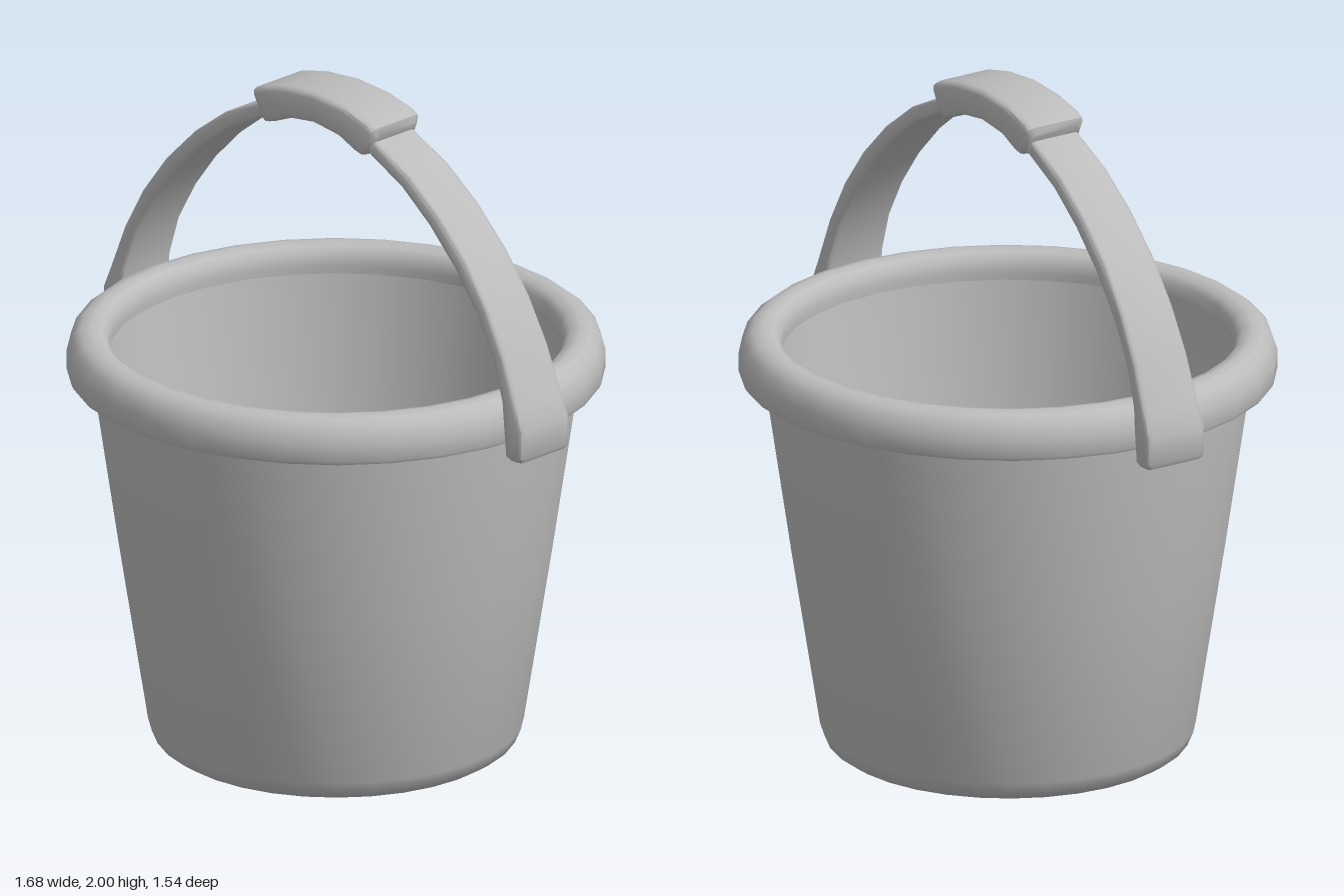
import * as THREE from 'three';
import { toCreasedNormals } from 'three/addons/utils/BufferGeometryUtils.js';

const SIDES = 32;

// Turned part from a closed [radius, height] profile
function turned(points) {
  const g = new THREE.LatheGeometry(points.map(([r, y]) => new THREE.Vector2(r, y)), SIDES);
  return toCreasedNormals(g, 0.75);
}

// Rounded-rectangle section, u = thickness, v = width, both -1..1
function section(cu, cv) {
  const pts = [];
  for (let q = 0; q < 4; q++) {
    for (let k = 0; k < 3; k++) {
      const a = q * Math.PI / 2 + k * Math.PI / 4;
      const su = q === 0 || q === 3 ? 1 : -1;
      const sv = q < 2 ? 1 : -1;
      pts.push([su * (1 - cu) + cu * Math.cos(a), sv * (1 - cv) + cv * Math.sin(a)]);
    }
  }
  return pts;
}

// Band lofted through stations [outerX, outerY, innerX, innerY, halfWidth], running toward +x
function band(stations, cu, cv) {
  const ring = section(cu, cv), n = ring.length, pos = [], idx = [];
  for (const [ox, oy, ix, iy, w] of stations) {
    for (const [u, v] of ring) {
      const t = (u + 1) / 2;
      pos.push(ix + (ox - ix) * t, iy + (oy - iy) * t, v * w);
    }
  }
  for (let i = 0; i < stations.length - 1; i++) {
    for (let j = 0; j < n; j++) {
      const k = (j + 1) % n;
      const a = i * n + j, d = i * n + k, b = a + n, c = d + n;
      idx.push(a, d, c, a, c, b);
    }
  }
  const last = (stations.length - 1) * n;
  for (let j = 1; j < n - 1; j++) {
    idx.push(0, j + 1, j, last, last + j, last + j + 1);
  }
  const g = new THREE.BufferGeometry();
  g.setAttribute('position', new THREE.Float32BufferAttribute(pos, 3));
  g.setIndex(idx);
  return toCreasedNormals(g, 0.8);
}

// Complete a left half (ending at or before x = 0) with its mirror image
function mirrored(half) {
  const other = half.filter((s) => s[0] < 0).reverse();
  return [...half, ...other.map(([ox, oy, ix, iy, w]) => [-ox, oy, -ix, iy, w])];
}

export function createModel() {
  const model = new THREE.Group();
  model.name = 'bucket';
  const plastic = new THREE.MeshStandardMaterial({ color: 0xbcbcbc });
  plastic.name = 'grey plastic';

  const add = (name, geometry, parent = model) => {
    const mesh = new THREE.Mesh(geometry, plastic);
    mesh.name = name;
    parent.add(mesh);
  };

  // Tapered shell with rounded foot and open inside
  add('body', turned([
    [0, 0.01], [0.44, 0.005], [0.49, 0.01], [0.52, 0.03], [0.537, 0.07],
    [0.62, 0.6], [0.70, 1.14], [0.70, 1.2], [0.655, 1.2],
    [0.575, 0.6], [0.49, 0.06], [0, 0.06],
  ]));

  // Thick rolled rim
  add('rim', turned([
    [0.66, 1.13], [0.765, 1.13], [0.77, 1.14], [0.77, 1.19], [0.755, 1.235],
    [0.73, 1.255], [0.70, 1.262], [0.67, 1.255], [0.653, 1.235], [0.648, 1.2], [0.66, 1.13],
  ]));

  const handle = new THREE.Group();
  handle.name = 'handle';
  model.add(handle);

  // Arched strap, widening into the pivot ends
  add('strap', band(mirrored([
    [-0.832, 1.09, -0.782, 1.09, 0.092],
    [-0.84, 1.105, -0.772, 1.10, 0.1],
    [-0.84, 1.19, -0.762, 1.20, 0.1],
    [-0.815, 1.25, -0.755, 1.26, 0.097],
    [-0.76, 1.39, -0.715, 1.38, 0.093],
    [-0.69, 1.52, -0.645, 1.50, 0.09],
    [-0.60, 1.64, -0.56, 1.61, 0.088],
    [-0.49, 1.75, -0.455, 1.715, 0.086],
    [-0.37, 1.84, -0.345, 1.80, 0.084],
    [-0.23, 1.91, -0.21, 1.868, 0.082],
    [-0.1, 1.95, -0.1, 1.915, 0.082],
  ]), 0.45, 0.15), handle);

  // Thicker grip at the top of the arch
  add('grip', band(mirrored([
    [-0.243, 1.93, -0.215, 1.868, 0.085],
    [-0.24, 1.952, -0.19, 1.86, 0.098],
    [-0.215, 1.966, -0.165, 1.868, 0.1],
    [-0.12, 1.99, -0.10, 1.895, 0.097],
    [0, 2.0, 0, 1.908, 0.096],
  ]), 0.35, 0.2), handle);

  return model;
}
